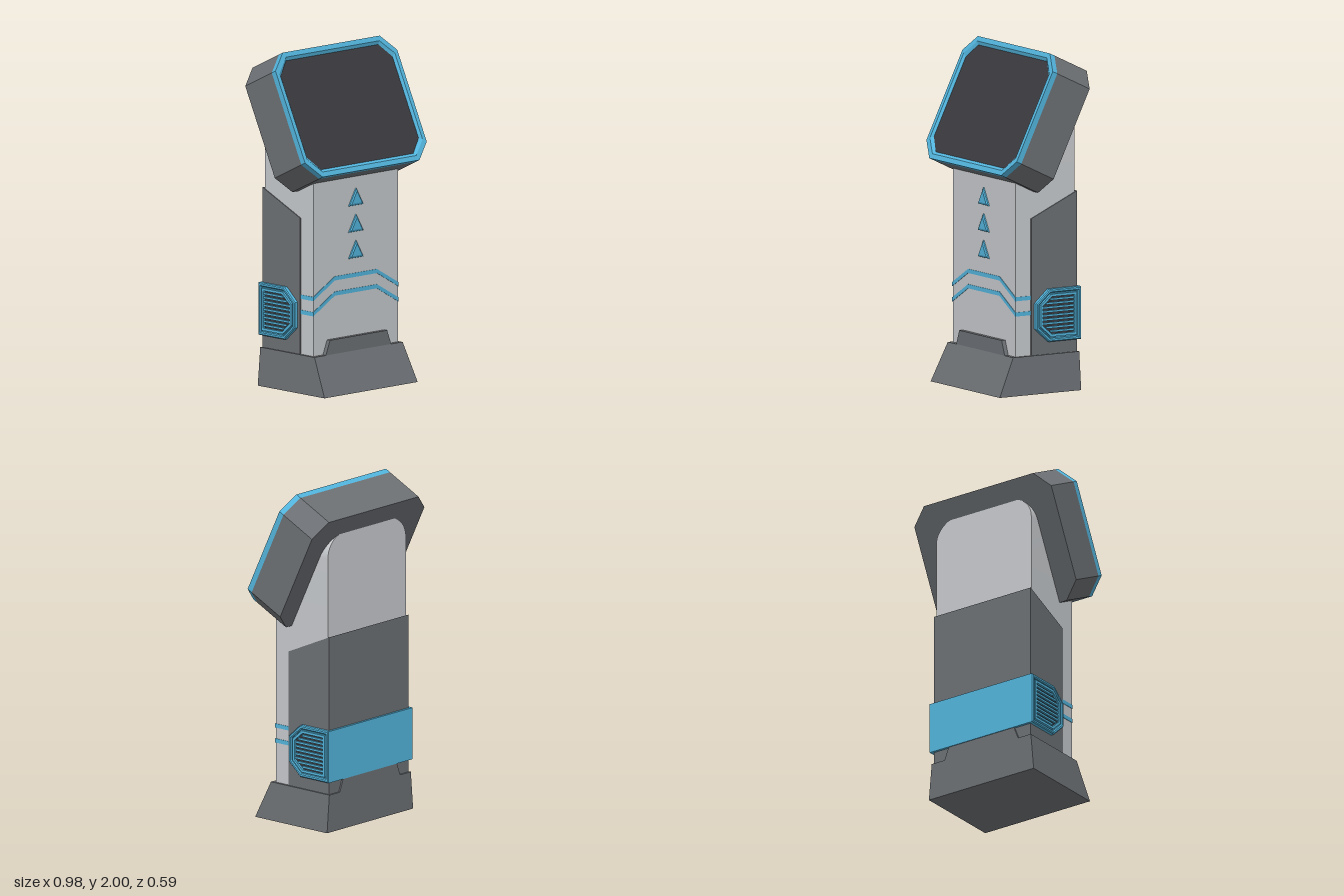
import * as THREE from 'three';
import { toCreasedNormals } from 'three/addons/utils/BufferGeometryUtils.js';

const mat = (name, color) => {
  const m = new THREE.MeshStandardMaterial({ color });
  m.name = name;
  return m;
};
const shapeOf = (pts) => new THREE.Shape(pts.map(([x, y]) => new THREE.Vector2(x, y)));

// Extrude an x-y outline from z0 to z1
function extrudeZ(pts, z0, z1, hole, bevel = 0) {
  const s = shapeOf(pts);
  if (hole) s.holes.push(shapeOf(hole));
  return new THREE.ExtrudeGeometry(s, {
    depth: z1 - z0 - 2 * bevel, bevelEnabled: bevel > 0, bevelSize: bevel,
    bevelThickness: bevel, bevelOffset: -bevel, bevelSegments: 1, curveSegments: 10,
  }).translate(0, 0, z0 + bevel);
}
// Extrude a (-z, y) side outline across the full width, -w to w
const extrudeX = (pts, w, hole, bevel) => extrudeZ(pts, -w, w, hole, bevel).rotateY(Math.PI / 2);

// Join convex outlines stacked along z; sections are [outline, z]
function loft(sections, caps) {
  const p = [];
  const rings = sections.map(([o, z]) => o.map(([x, y]) => [x, y, z]));
  const n = rings[0].length;
  for (let k = 0; k < rings.length - 1; k++) {
    const a = rings[k], b = rings[k + 1];
    for (let i = 0; i < n; i++) {
      const j = (i + 1) % n;
      p.push(...a[i], ...a[j], ...b[j], ...a[i], ...b[j], ...b[i]);
    }
  }
  if (caps) {
    const a = rings[0], b = rings[rings.length - 1];
    for (let i = 1; i < n - 1; i++) p.push(...a[0], ...a[i + 1], ...a[i], ...b[0], ...b[i], ...b[i + 1]);
  }
  const g = new THREE.BufferGeometry();
  g.setAttribute('position', new THREE.Float32BufferAttribute(p, 3));
  g.computeVertexNormals();
  return g;
}

// Rectangle with cut corners, counter-clockwise
const octagon = (w, h, cx, cy) => [
  [-w + cx, -h], [w - cx, -h], [w, -h + cy], [w, h - cy],
  [w - cx, h], [-w + cx, h], [-w, h - cy], [-w, -h + cy],
];

export function createModel() {
  const root = new THREE.Group();
  const light = mat('light grey', 0xc6c9cc);
  const dark = mat('dark grey', 0x6c7074);
  const blue = mat('blue', 0x52b4dc);
  const black = mat('screen black', 0x3b3a3f);
  const add = (name, geo, m, parent = root) => {
    const mesh = new THREE.Mesh(geo, m);
    mesh.name = name;
    parent.add(mesh);
    return mesh;
  };

  // Base: tapered plinth with raised tabs front and back
  add('base', loft([
    [[[-0.375, -0.295], [0.375, -0.295], [0.375, 0.265], [-0.375, 0.265]], 0],
    [[[-0.355, -0.19], [0.355, -0.19], [0.355, 0.265], [-0.355, 0.265]], 0.225],
  ], true).rotateX(-Math.PI / 2), dark);
  const tab = [[-0.265, 0.22], [0.265, 0.22], [0.23, 0.31], [-0.23, 0.31]];
  add('frontTab', extrudeZ(tab, 0.16, 0.19), dark);
  add('backTab', extrudeZ(tab, -0.265, -0.25), dark);

  // Column: box below, round-shouldered slab behind the head
  add('column', new THREE.BoxGeometry(0.68, 1.1, 0.405).translate(0, 0.75, -0.0375), light);
  const top = new THREE.Shape();
  const r = 0.135, yTop = 1.77;
  top.moveTo(-0.34, 1.3);
  top.lineTo(0.34, 1.3);
  top.lineTo(0.34, yTop - r);
  top.absarc(0.34 - r, yTop - r, r, 0, Math.PI / 2);
  top.absarc(-0.34 + r, yTop - r, r, Math.PI / 2, Math.PI);
  const topGeo = new THREE.ExtrudeGeometry(top, { depth: 0.27, bevelEnabled: false, curveSegments: 10 });
  add('columnTop', toCreasedNormals(topGeo.translate(0, 0, -0.24), 0.6), light);

  // Sleeve around the back and sides
  add('sleeve', extrudeX([[-0.06, 0.2], [0.255, 0.2], [0.255, 1.17], [-0.06, 1.03]], 0.346), dark);

  // Blue band across the back, ending in a vent on each side
  const band = new THREE.Group();
  band.name = 'ventBand';
  root.add(band);
  const outline = (d) => [
    [-0.04 + d, 0.38 + 0.4 * d], [0.05 + 0.4 * d, 0.3 + d], [0.27 - d, 0.3 + d],
    [0.27 - d, 0.61 - d], [0.05 + 0.4 * d, 0.61 - d], [-0.04 + d, 0.53 - 0.4 * d],
  ];
  add('bandFrame', extrudeX(outline(0), 0.372, outline(0.022), 0.006), blue, band);
  add('bandGroove', extrudeX(outline(0.01), 0.355), blue, band);
  add('ventFrame', extrudeX(outline(0.03), 0.37, outline(0.045)), blue, band);
  add('ventFloor', extrudeX(outline(0.04), 0.357), black, band);
  for (let i = 0; i < 9; i++) {
    const y = 0.455 + (i - 4) * 0.0235;
    const u0 = 0.008 + Math.max(0, Math.abs(y - 0.455) - 0.05) * 1.2;
    add('ventSlat', extrudeX([[u0, y - 0.006], [0.226, y - 0.006], [0.226, y + 0.006], [u0, y + 0.006]], 0.367), blue, band);
  }

  // Stripes bent over the front and running back along the sides
  for (const y of [0.565, 0.475]) {
    const path = [[-0.343, y], [-0.17, y + 0.1], [0.17, y + 0.1], [0.343, y]];
    const lower = path.map(([x, v]) => [x, v - 0.012]);
    const upper = path.map(([x, v]) => [x, v + 0.012]).reverse();
    add('frontStripe', extrudeZ([...lower, ...upper], 0.161, 0.168), blue);
    for (const s of [-1, 1]) {
      add('sideStripe', new THREE.BoxGeometry(0.006, 0.024, 0.112).translate(s * 0.34, y, 0.112), blue);
    }
  }

  // Three bevelled arrows up the front
  const arrow = (k) => [[-0.06 * k, -0.045 * k], [0.06 * k, -0.045 * k], [0, 0.06 * k]];
  for (const y of [1.12, 0.965, 0.81]) {
    add('arrow', loft([[arrow(1), 0], [arrow(0.94), 0.008], [arrow(0.68), 0.014]], true), blue).position.set(0, y, 0.164);
  }

  // Head: tilted cut-corner housing with a blue rim and recessed screen
  const head = new THREE.Group();
  head.name = 'head';
  head.position.set(0, 1.655, 0.1275);
  head.rotation.x = -0.452;
  root.add(head);
  const outer = octagon(0.49, 0.3835, 0.1, 0.1);
  const lip = octagon(0.464, 0.354, 0.088, 0.088);
  const inner = octagon(0.45, 0.336, 0.078, 0.085);
  add('housing', extrudeZ(outer, -0.282, -0.035), dark, head);
  add('rim', loft([[outer, -0.035], [outer, 0], [lip, 0], [inner, -0.014]]), blue, head);
  add('screen', new THREE.ShapeGeometry(shapeOf(inner)).translate(0, 0, -0.014), black, head);

  return root;
}
